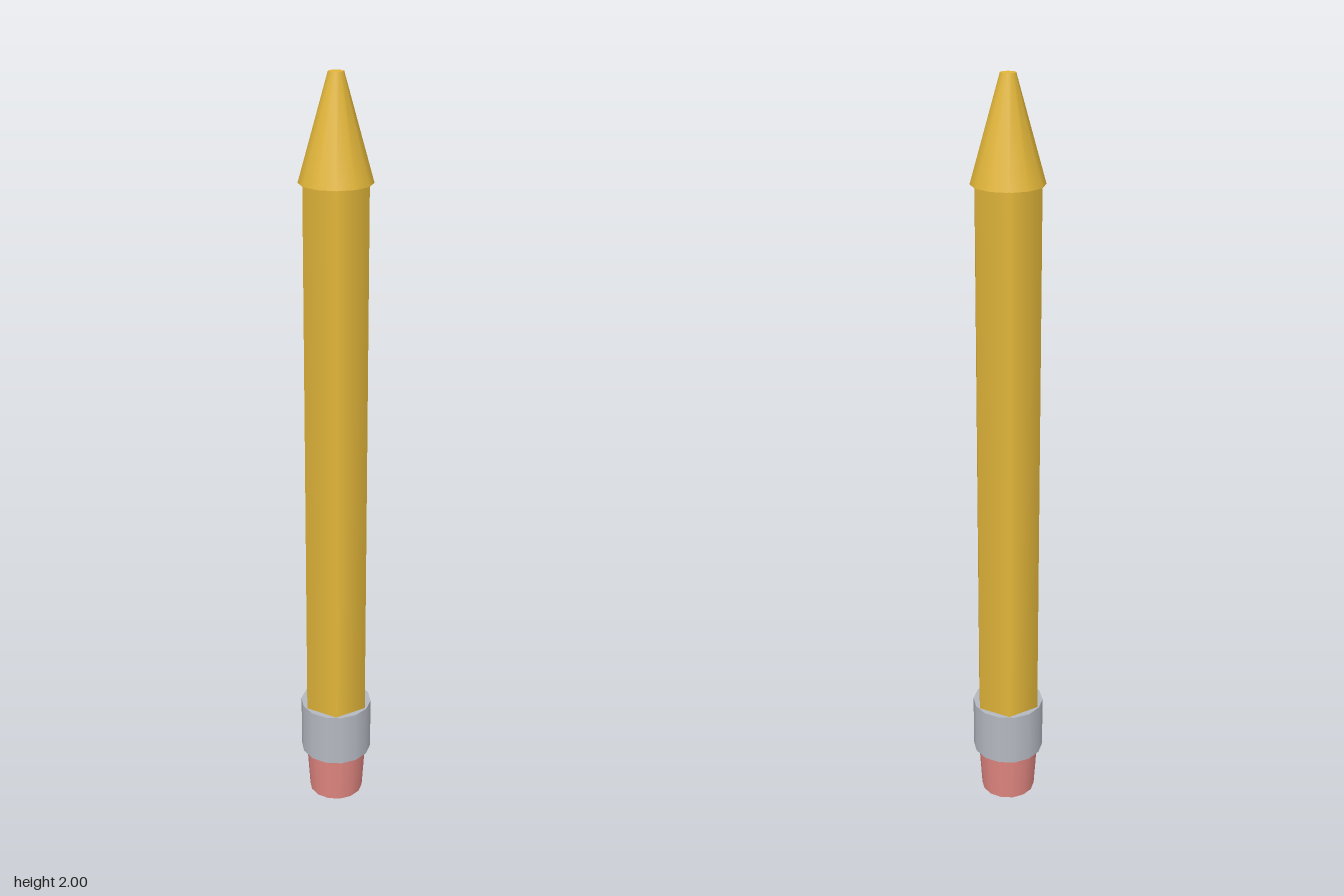
import * as THREE from 'three';

const paint = (name, color) => {
  const material = new THREE.MeshStandardMaterial({ color });
  material.name = name;
  return material;
};

export function createModel() {
  const pencil = new THREE.Group();
  pencil.name = 'pencil';

  const yellow = paint('yellow paint', 0xe2b63a);
  const metal = paint('grey metal', 0xb4b8c0);
  const pink = paint('pink rubber', 0xe08680);

  // Capped, smooth-sided section from y0 to y1 with a corner on the x axis
  const section = (name, material, rTop, rBottom, y0, y1, sides) => {
    const geometry = new THREE.CylinderGeometry(rTop, rBottom, y1 - y0, sides);
    geometry.rotateY(Math.PI / 2);
    geometry.translate(0, (y0 + y1) / 2, 0);
    const mesh = new THREE.Mesh(geometry, material);
    mesh.name = name;
    pencil.add(mesh);
  };

  // Eraser tapering towards the ground, held by the metal band
  section('eraser', pink, 0.083, 0.074, 0, 0.14, 14);
  section('ferrule', metal, 0.097, 0.097, 0.137, 0.286, 14);
  // Hexagonal shaft and the slightly overhanging blunt tip
  section('shaft', yellow, 0.092, 0.092, 0.28, 1.742, 6);
  section('tip', yellow, 0.019, 0.092, 1.74, 2, 12);

  return pencil;
}
